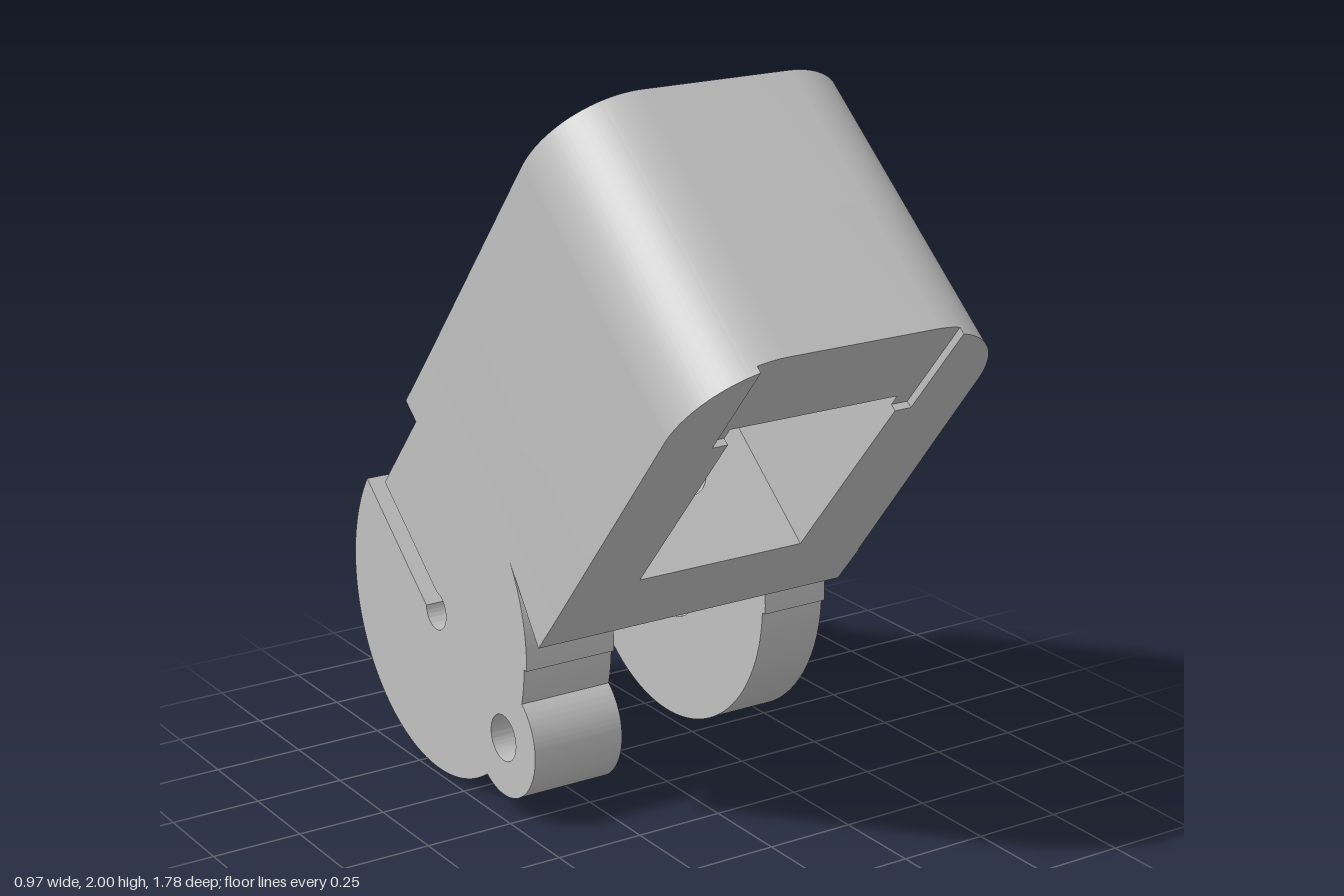
import * as THREE from 'three';
import { toCreasedNormals } from 'three/addons/utils/BufferGeometryUtils.js';

const rad = THREE.MathUtils.degToRad;
const R = 0.47, R_STEP = 0.483;      // knuckle radius and its raised front sector
const EAR = { z: 0.433, y: 0.037 };  // pin ear beside the right knuckle
const TOP = 0.548;                   // where the lower part meets the housing

export function createModel() {
  const grey = new THREE.MeshStandardMaterial({ color: 0xc0c0c0 });
  grey.name = 'light grey';

  // Local frame: origin at the hinge axis, y along the housing, z to its open face
  const bracket = new THREE.Group();
  bracket.name = 'hingedHousing';
  bracket.position.set(0, 0.47, -0.42);
  bracket.rotation.x = rad(40);

  const extrude = (shape, depth) =>
    new THREE.ExtrudeGeometry(shape, { depth, bevelEnabled: false, curveSegments: 40 });
  const add = (name, geometry) => {
    const mesh = new THREE.Mesh(toCreasedNormals(geometry, 0.5), grey);
    mesh.name = name;
    bracket.add(mesh);
  };
  // Shape drawn in (z, y), extruded from x0 to x1
  const alongX = (name, shape, x0, x1) =>
    add(name, extrude(shape, x1 - x0).rotateY(-Math.PI / 2).translate(x1, 0, 0));
  // Shape drawn in (x, y), extruded from z0 to z1
  const alongZ = (name, shape, z0, z1) =>
    add(name, extrude(shape, z1 - z0).translate(0, 0, z0));
  const arc = (s, x, y, r, a, b, cw = false) => s.absarc(x, y, r, rad(a), rad(b), cw);
  const lines = (s, pts) => pts.forEach(([x, y]) => s.lineTo(x, y));
  const circle = (x, y, r) => arc(new THREE.Path(), x, y, r, 0, 360, true);
  const polygon = pts => new THREE.Shape(pts.map(p => new THREE.Vector2(...p)));

  // ---- Housing: rounded top, slightly tapered side ----
  const housing = () => {
    const s = new THREE.Shape();
    s.moveTo(-0.48, TOP);
    s.lineTo(0.477, TOP);
    arc(s, 0.2, 1.35, 0.253, 0, 90);
    arc(s, -0.235, 1.35, 0.253, 90, 180);
    return s;
  };
  alongZ('housingBack', housing(), -0.471, -0.04);

  const walls = housing();
  walls.holes.push(polygon([[-0.275, 0.56], [-0.275, 1.313], [0.23, 1.313], [0.23, 0.56]]));
  alongZ('housingWalls', walls, -0.04, 0.353);

  // Front lip with the shallow cover recess above the opening
  const lip = new THREE.Shape();
  lip.moveTo(-0.48, TOP);
  lip.lineTo(0.477, TOP);
  arc(lip, 0.2, 1.35, 0.253, 0, 71.6);
  lines(lip, [[0.28, 1.277], [0.23, 1.277], [0.23, 0.663],
    [-0.275, 0.663], [-0.275, 1.277], [-0.32, 1.277]]);
  arc(lip, -0.235, 1.35, 0.253, 109.7, 180);
  alongZ('frontLip', lip, 0.353, 0.373);

  // Cavity floor with a screw hole
  const floor = polygon([[-0.275, -0.353], [0.23, -0.353], [0.23, 0.04], [-0.275, 0.04]]);
  floor.holes.push(circle(-0.02, -0.08, 0.088));
  add('cavityFloor', extrude(floor, 0.103).rotateX(-Math.PI / 2).translate(0, 0.56, 0));

  // ---- Lower body with a curved clearance between the arms ----
  const backEdge = [[-0.471, TOP], [-0.471, 0.34], [-0.4, 0.34]];
  const lower = polygon([...backEdge, [-0.4, 0.27]]);
  arc(lower, 0, 0, R, 146, 74, true);
  lines(lower, [[0.133, 0.464], [0.373, 0.403], [0.373, TOP]]);
  alongX('lowerBody', lower, -0.41, 0.41);

  // ---- Knuckle rim, from angle a round the bottom to the front top ----
  const rim = (s, a, ear) => {
    if (ear) {
      arc(s, 0, 0, R, a, 344.4);
      arc(s, EAR.z, EAR.y, 0.165, -83.1, 92.9);
      arc(s, 0, 0, R, 25.4, 38);
      s.holes.push(circle(EAR.z, EAR.y, 0.065));
    } else {
      arc(s, 0, 0, R, a, 398);
    }
    arc(s, 0, 0, R_STEP, 38, 74);
    return s;
  };
  const innerKnuckle = ear => {
    const s = rim(new THREE.Shape(), 184.5, ear);
    arc(s, 0, 0, R, 74, 184.5);
    s.holes.push(circle(0, 0, 0.17));
    return s;
  };
  alongX('leftKnuckle', innerKnuckle(false), 0.28, 0.41);
  alongX('rightKnuckle', innerKnuckle(true), -0.41, -0.21);

  // Left outer layer: counterbore, cable groove and entry channel
  const leftFace = rim(new THREE.Shape(), 184.5, false);
  lines(leftFace, [[0.373, 0.403], [0.373, TOP], [0.04, TOP]]);
  arc(leftFace, 0, 0, 0.228, 80, -170.7, true);
  alongX('leftOuterKnuckle', leftFace, 0.41, 0.48);

  const leftPlate = polygon([[-0.05, TOP], ...backEdge, [-0.4, 0.046]]);
  arc(leftPlate, 0, 0, 0.228, 168.4, 102.7, true);
  alongX('leftSidePlate', leftPlate, 0.41, 0.48);

  // Right outer layer: small keyhole reached by the entry channel
  const rightFace = rim(new THREE.Shape(), 184.5, true);
  lines(rightFace, [[0.373, 0.403], [0.373, TOP], ...backEdge, [-0.4, 0.046]]);
  arc(rightFace, 0, 0, 0.055, 123.2, -137.7, true);
  alongX('rightOuterKnuckle', rightFace, -0.48, -0.41);

  const model = new THREE.Group();
  model.name = 'model';
  model.add(bracket);
  return model;
}
